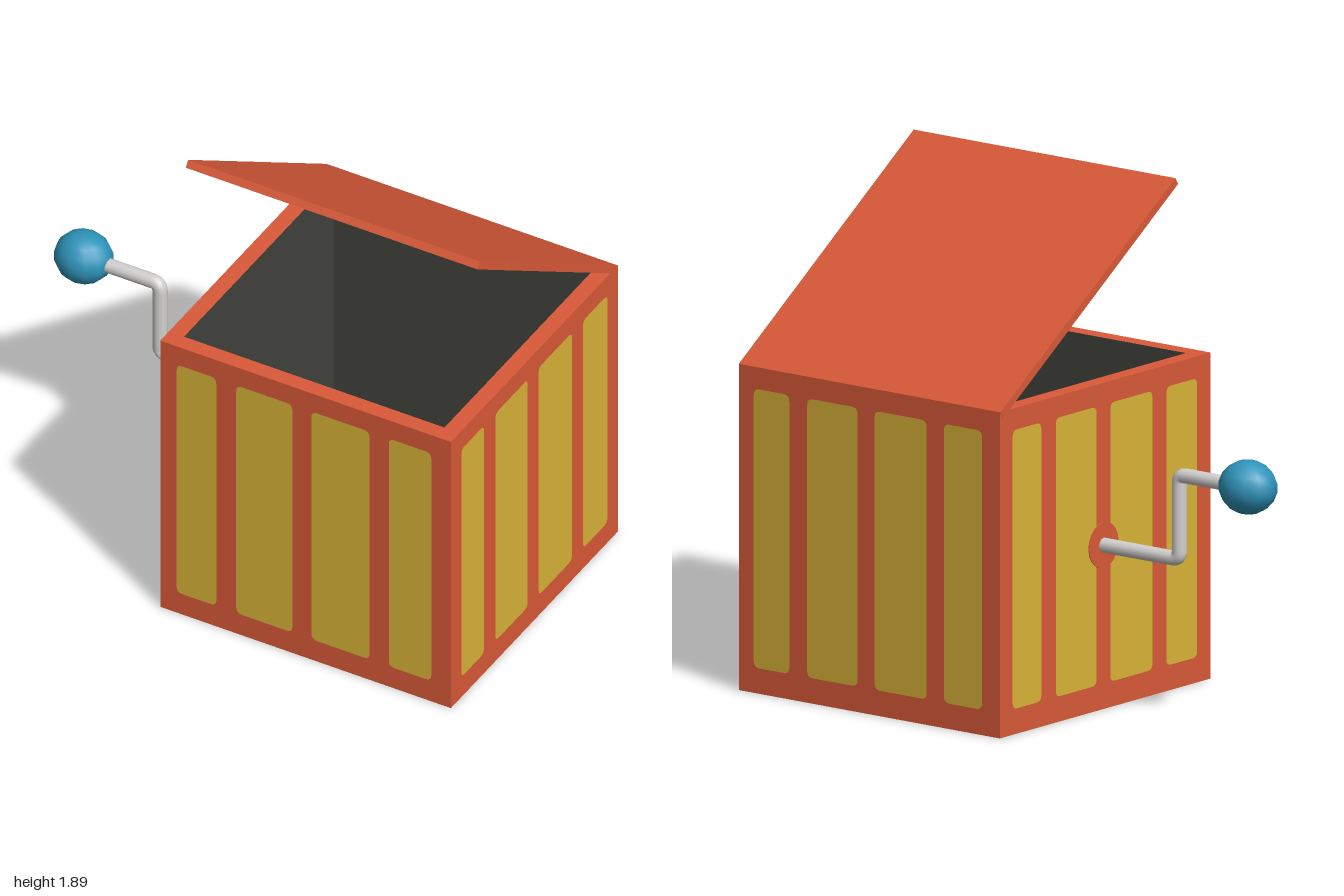
import * as THREE from 'three';

const SIZE = 1.21, HALF = SIZE / 2, WALL = 0.063, CENTRE_X = 0.39;

function material(name, color) {
  const m = new THREE.MeshStandardMaterial({ color });
  m.name = name;
  return m;
}

function add(parent, name, geometry, mat, x = 0, y = 0, z = 0) {
  const mesh = new THREE.Mesh(geometry, mat);
  mesh.name = name;
  mesh.position.set(x, y, z);
  parent.add(mesh);
  return mesh;
}

// Rounded rectangle between two corners
function roundedRect(x0, y0, x1, y1, r) {
  const s = new THREE.Shape();
  s.moveTo(x0 + r, y0);
  s.lineTo(x1 - r, y0).quadraticCurveTo(x1, y0, x1, y0 + r);
  s.lineTo(x1, y1 - r).quadraticCurveTo(x1, y1, x1 - r, y1);
  s.lineTo(x0 + r, y1).quadraticCurveTo(x0, y1, x0, y1 - r);
  s.lineTo(x0, y0 + r).quadraticCurveTo(x0, y0, x0 + r, y0);
  return s;
}

function square(Type, h) {
  return new Type([[-h, -h], [h, -h], [h, h], [-h, h]].map(p => new THREE.Vector2(...p)));
}

export function createModel() {
  const red = material('red paint', 0xda5a38);
  const yellow = material('yellow stripe', 0xd9b338);
  const dark = material('dark lining', 0x42433c);
  const metal = material('grey metal', 0xd4d2d0);
  const blue = material('blue knob', 0x2f94bb);

  const model = new THREE.Group();
  model.name = 'crankBox';

  const box = new THREE.Group();
  box.name = 'box';
  box.position.x = CENTRE_X;
  model.add(box);

  // Four sides, each with an outer wall, an inner lining and painted stripes
  const inner = HALF - WALL;
  const stripes = [[-0.535, -0.37], [-0.287, -0.053], [0.026, 0.268], [0.348, 0.525]];
  for (let i = 0; i < 4; i++) {
    const side = new THREE.Group();
    side.name = ['front', 'left', 'back', 'right'][i] + 'Side';
    side.rotation.y = i * Math.PI / 2;
    box.add(side);
    add(side, 'outerWall', new THREE.PlaneGeometry(SIZE, SIZE), red, 0, HALF, HALF);
    add(side, 'innerWall', new THREE.PlaneGeometry(inner * 2, SIZE - WALL), dark,
      0, (SIZE + WALL) / 2, inner).rotation.y = Math.PI;
    for (const [u0, u1] of stripes) {
      const shape = roundedRect(u0, 0.095, u1, 1.13, 0.025);
      add(side, 'stripe', new THREE.ShapeGeometry(shape, 4), yellow, 0, 0, HALF + 0.003);
    }
  }

  // Underside, inside floor and top rim
  add(box, 'underside', new THREE.PlaneGeometry(SIZE, SIZE), red).rotation.x = Math.PI / 2;
  add(box, 'floor', new THREE.PlaneGeometry(inner * 2, inner * 2), dark, 0, WALL, 0)
    .rotation.x = -Math.PI / 2;
  const rim = square(THREE.Shape, HALF);
  rim.holes.push(square(THREE.Path, inner));
  add(box, 'rim', new THREE.ShapeGeometry(rim), red, 0, SIZE, 0).rotation.x = -Math.PI / 2;

  // Lid hinged at the back edge
  const lid = new THREE.Group();
  lid.name = 'lidHinge';
  lid.position.set(0, SIZE, -HALF);
  lid.rotation.x = -Math.atan2(0.685, 1.005);
  box.add(lid);
  add(lid, 'lid', new THREE.BoxGeometry(SIZE + 0.004, 0.03, 1.216), red, 0, -0.015, 0.608);

  // Crank with a red base patch, a bent rod and a round knob
  const crank = new THREE.Group();
  crank.name = 'crank';
  crank.position.z = -0.015;
  model.add(crank);

  add(crank, 'crankBase', new THREE.CylinderGeometry(0.085, 0.085, 0.008, 20), red,
    CENTRE_X - HALF - 0.002, 0.61, 0).rotation.z = Math.PI / 2;

  const v = (x, y) => new THREE.Vector3(x, y, 0);
  const bend = 0.03, armX = -0.572, low = 0.61, high = 0.923;
  const path = new THREE.CurvePath();
  path.add(new THREE.LineCurve3(v(-0.2, low), v(armX + bend, low)));
  path.add(new THREE.QuadraticBezierCurve3(v(armX + bend, low), v(armX, low), v(armX, low + bend)));
  path.add(new THREE.LineCurve3(v(armX, low + bend), v(armX, high - bend)));
  path.add(new THREE.QuadraticBezierCurve3(v(armX, high - bend), v(armX, high), v(armX - bend, high)));
  path.add(new THREE.LineCurve3(v(armX - bend, high), v(-0.85, high)));
  add(crank, 'crankRod', new THREE.TubeGeometry(path, 80, 0.028, 12), metal);

  add(crank, 'crankKnob', new THREE.SphereGeometry(1, 12, 9), blue, -0.89, 0.925, 0)
    .scale.set(0.112, 0.1, 0.102);

  return model;
}
